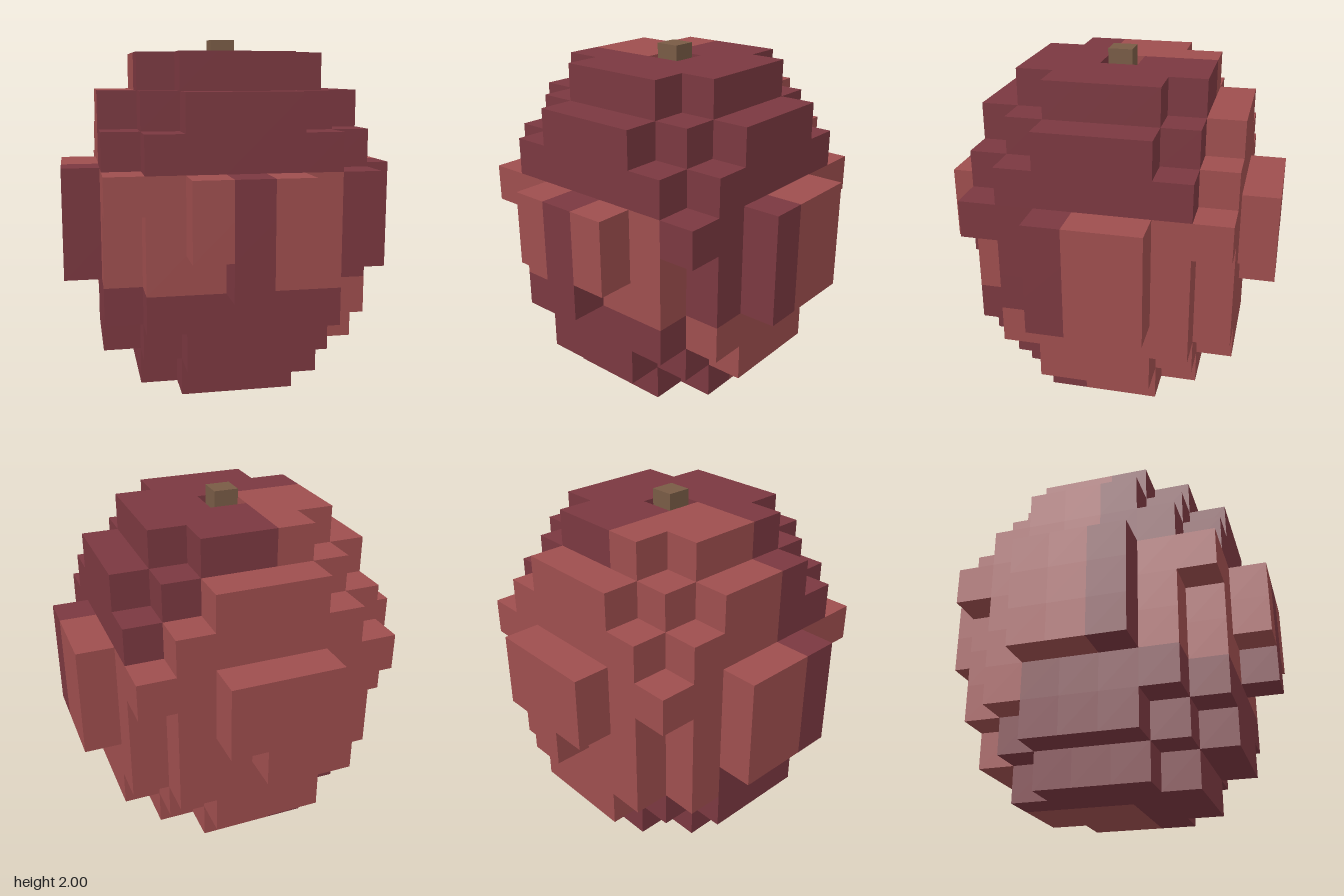
import * as THREE from 'three';
import { mergeGeometries } from 'three/addons/utils/BufferGeometryUtils.js';

const S = 0.2137; // edge of one block

// Largest |z| of the blocks at each |x| = 0..4, per kind of layer
const CAP = [2, 2, 1];
const SHOULDER = [3, 3, 2, 1];
const DRUM = [3, 3, 3, 2];
const FULL = [3, 3, 3, 3];
const LAYERS = [CAP, SHOULDER, DRUM, DRUM, DRUM, FULL, DRUM, SHOULDER, CAP];

// Which part owns the block at x, layer y, z (null = empty)
function partAt(x, y, z) {
  const ax = Math.abs(x), az = Math.abs(z);
  if (y < 0 || y > 8) return null;
  if (x === 0 && z === 0 && y === 8) return null; // stem socket
  if (ax < LAYERS[y].length && az <= LAYERS[y][ax]) return 'body';
  if (y < 3 || y > 5) return null;
  if (ax === 4 && az <= 1) return x > 0 ? 'leftBump' : 'rightBump';
  if (az === 4 && (ax === 0 || (ax === 1 && y > 3))) return z > 0 ? 'frontBump' : 'backBump';
  return null;
}

// Patchwork of pale and dark skin
function isPale(x, y, z) {
  if (y === 8) return x <= -1 && z <= 0;
  if (y >= 6) return z === -3 || (x <= -1 && z <= 0);
  if (y >= 3) {
    if (z <= 0) return true;
    if (z >= 3) return x !== 0 && x !== 3;
    return Math.abs(x) < 3 || (x === -3 && z === 2);
  }
  if (y === 2) return z <= -2 || (x >= -2 && z <= 2);
  if (y === 1) return (x >= -1 && z <= 1);
  return x >= 0 && z <= 0;
}

// The six sides of a block: outward normal and the turn that faces a plane that way
const H = Math.PI / 2;
const SIDES = [
  [[0, 0, 1], [0, 0, 0]], [[0, 0, -1], [0, 2 * H, 0]],
  [[1, 0, 0], [0, H, 0]], [[-1, 0, 0], [0, -H, 0]],
  [[0, 1, 0], [-H, 0, 0]], [[0, -1, 0], [H, 0, 0]],
];

function face(x, y, z, [n, turn]) {
  const g = new THREE.PlaneGeometry(S, S);
  g.rotateX(turn[0]);
  g.rotateY(turn[1]);
  return g.translate((x + n[0] / 2) * S, (y + 0.5 + n[1] / 2) * S, (z + n[2] / 2) * S);
}

export function createModel() {
  const dark = new THREE.MeshStandardMaterial({ color: 0x7b3840, name: 'darkSkin' });
  const pale = new THREE.MeshStandardMaterial({ color: 0x9e4e4e, name: 'paleSkin' });
  const wood = new THREE.MeshStandardMaterial({ color: 0x785b45, name: 'stemBrown' });

  // Collect the outer faces of every part by colour
  const parts = {};
  for (let y = 0; y <= 8; y++)
    for (let x = -4; x <= 4; x++)
      for (let z = -4; z <= 4; z++) {
        const name = partAt(x, y, z);
        if (!name) continue;
        parts[name] ??= { dark: [], pale: [] };
        for (const side of SIDES) {
          const n = side[0];
          if (partAt(x + n[0], y + n[1], z + n[2])) continue;
          parts[name][isPale(x, y, z) ? 'pale' : 'dark'].push(face(x, y, z, side));
        }
      }

  const model = new THREE.Group();
  model.name = 'blockFruit';
  for (const [name, faces] of Object.entries(parts)) {
    const group = new THREE.Group();
    group.name = name;
    for (const [key, material] of [['dark', dark], ['pale', pale]]) {
      if (!faces[key].length) continue;
      const mesh = new THREE.Mesh(mergeGeometries(faces[key]), material);
      mesh.name = name + (key === 'dark' ? 'DarkPatches' : 'PalePatches');
      group.add(mesh);
    }
    model.add(group);
  }

  // Stem standing in the socket
  const bottom = 8 * S, height = 2 - bottom;
  const stem = new THREE.Mesh(new THREE.BoxGeometry(0.14, height, 0.14), wood);
  stem.name = 'stem';
  stem.position.y = bottom + height / 2;
  model.add(stem);
  return model;
}
